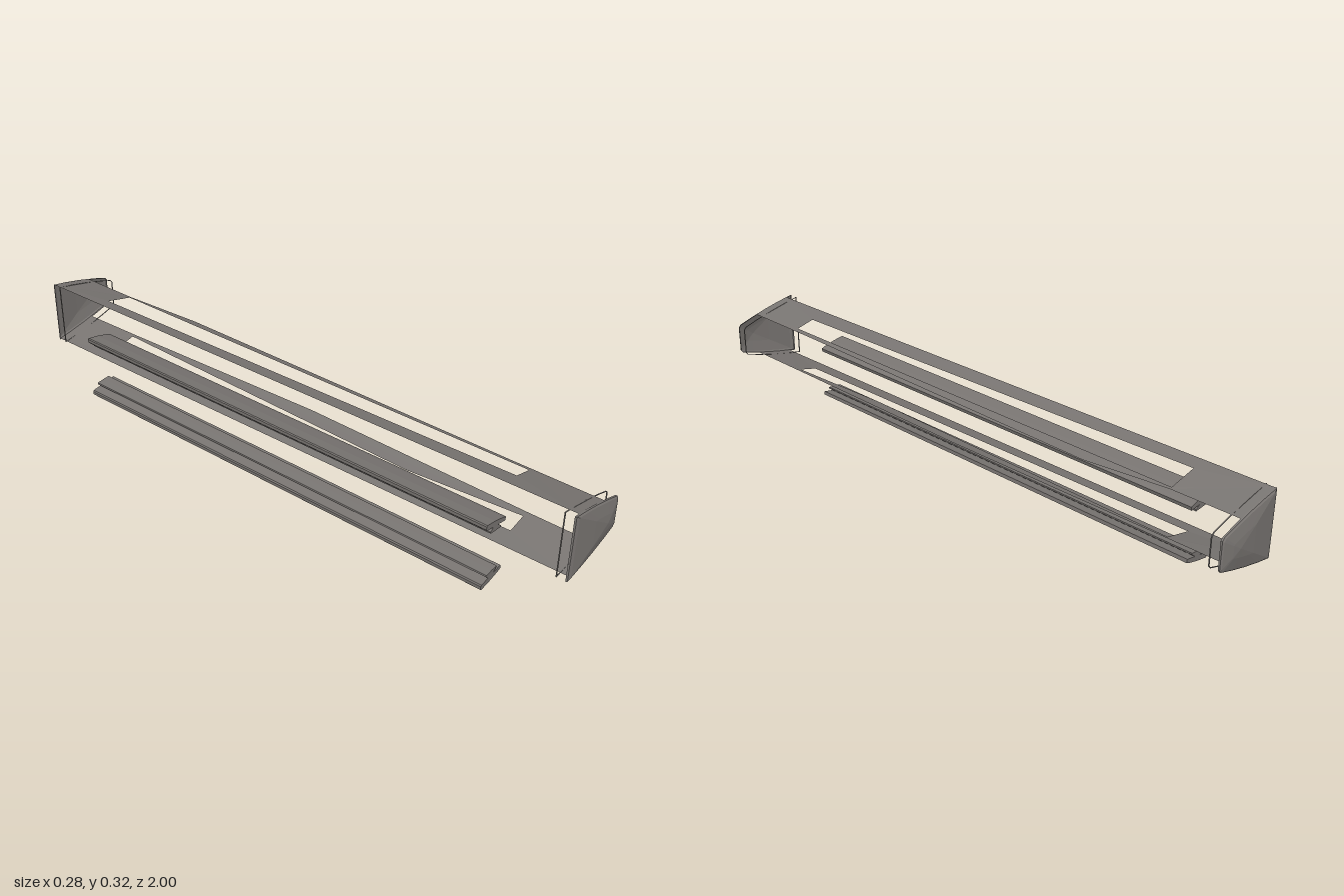
import * as THREE from 'three';

const MID = 0.2175; // height of the housing's plane of symmetry
const END = 0.985;
const SLOT = 0.77;

// height of the gently curved housing wall above the mid plane
const halfHeight = (x) => {
  const t = (x + 0.09) / 0.225;
  return 0.1025 - 0.035 * t - 0.02 * t * t;
};

// housing cross-section, scaled about a point near its middle
function section(scale, cx = 0.03) {
  const xs = [-0.09, -0.04, 0.02, 0.08, 0.128, 0.135];
  const lower = xs.map((x) => [x, -halfHeight(x) + (x > 0.13 ? 0.006 : 0)]);
  const upper = lower.map(([x, y]) => [x, -y]).reverse();
  return [...lower, ...upper].map(([x, y]) => [cx + (x - cx) * scale, MID + y * scale]);
}

const shapeOf = (points) => new THREE.Shape(points.map(([x, y]) => new THREE.Vector2(x, y)));

export function createModel() {
  const group = new THREE.Group();
  const grey = new THREE.MeshStandardMaterial({ color: 0x7a7673, side: THREE.DoubleSide, flatShading: true });
  grey.name = 'warm grey';

  const add = (name, geometry) => {
    const mesh = new THREE.Mesh(geometry, grey);
    mesh.name = name;
    group.add(mesh);
    return mesh;
  };

  // thin slotted wall: side 1 is the top, -1 the bottom
  function wall(name, side, outer, slot) {
    const flip = (points) => points.map(([x, z]) => [x, -side * z]);
    const shape = shapeOf(flip(outer));
    shape.holes.push(shapeOf(flip(slot)));
    const geometry = new THREE.ShapeGeometry(shape).toNonIndexed();
    const p = geometry.attributes.position;
    for (let i = 0; i < p.count; i++) {
      const x = p.getX(i);
      p.setXYZ(i, x, MID + side * halfHeight(x), -side * p.getY(i));
    }
    geometry.computeVertexNormals();
    add(name, geometry);
  }

  wall('topWall', 1,
    [[-0.087, -END], [0.057, -END], [0.058, -SLOT], [0.082, -0.5], [0.062, 0.7], [0.06, END], [-0.07, END]],
    [[-0.04, -SLOT], [0.05, -SLOT], [0.047, SLOT], [-0.015, SLOT]]);
  wall('bottomWall', -1,
    [[-0.085, -END], [0.057, -END], [0.06, -SLOT], [0.076, 0], [0.062, SLOT], [0.06, END], [-0.07, END]],
    [[-0.04, -SLOT], [0.05, -SLOT], [0.022, 0.4], [0.045, SLOT], [-0.015, SLOT]]);

  // shallow faceted end cap built from shrinking sections
  function endCap(name, side) {
    const rings = [[1, 0.982], [0.99, 0.987], [0.92, 0.99], [0.4, 0.997], [0, 1]]
      .map(([scale, z]) => section(scale, 0.07).map(([x, y]) => [x, y, side * z]));
    const positions = [];
    const tri = (a, b, c) => positions.push(...a, ...(side > 0 ? [...b, ...c] : [...c, ...b]));
    for (let r = 0; r < rings.length - 1; r++) {
      const a = rings[r], b = rings[r + 1];
      for (let i = 0; i < a.length; i++) {
        const j = (i + 1) % a.length;
        tri(a[i], a[j], b[j]);
        if (r < rings.length - 2) tri(a[i], b[j], b[i]);
      }
    }
    const geometry = new THREE.BufferGeometry();
    geometry.setAttribute('position', new THREE.Float32BufferAttribute(positions, 3));
    geometry.computeVertexNormals();
    add(name, geometry);
  }

  // hairline gasket just inside each cap
  function gasket(name, z) {
    const shape = shapeOf(section(1));
    shape.holes.push(shapeOf(section(0.98)));
    const geometry = new THREE.ExtrudeGeometry(shape, { depth: 0.003, bevelEnabled: false });
    add(name, geometry).position.z = z - 0.0015;
  }

  for (const [end, side] of [['front', 1], ['back', -1]]) {
    endCap(end + 'EndCap', side);
    gasket(end + 'Gasket', side * 0.955);
  }

  // long slats with a wedge-shaped rail; the upper pair mirrors the lower
  const slat = [[-0.137, 0.001], [-0.1, 0.007], [-0.06, 0.017], [-0.047, 0.022],
    [-0.049, 0.033], [-0.06, 0.031], [-0.1, 0.024], [-0.137, 0.018], [-0.14, 0.014], [-0.14, 0.004]];
  const rail = [[-0.106, 0.022], [-0.086, 0.025], [-0.069, 0.038], [-0.069, 0.043], [-0.09, 0.041],
    [-0.117, 0.038], [-0.118, 0.033]];
  for (const upper of [false, true]) {
    for (const [part, profile] of [['Slat', slat], ['Rail', rail]]) {
      const points = profile.map(([x, y]) => [x, upper ? 0.215 - y : y]);
      const geometry = new THREE.ExtrudeGeometry(shapeOf(points), { depth: 2 * SLOT, bevelEnabled: false });
      add((upper ? 'upper' : 'lower') + part, geometry).position.z = -SLOT;
    }
  }

  return group;
}
